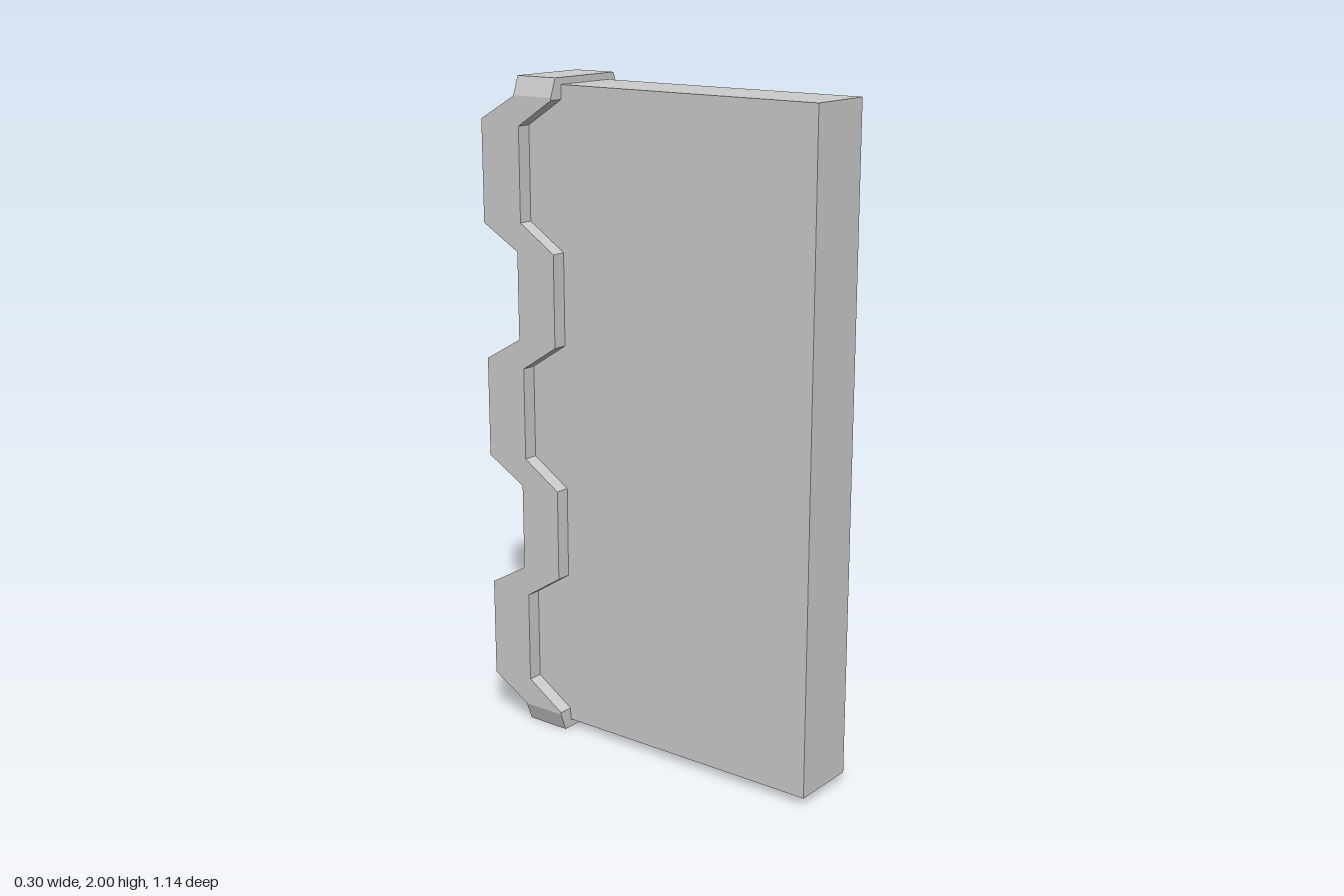
import * as THREE from 'three';

const HALF_CORE = 0.105;   // half thickness of the panel
const HALF_RAIL = 0.15;    // half thickness across the rails
const SHOULDER = 0.055;    // height of the chamfered ends
const TEETH = [0.282, 1.0, 1.718]; // tooth centre heights

// Zigzag edge from bottom to top, as (distance towards the back, y) points
function zigzag(low, high, outer, inner) {
  return TEETH.flatMap((y) => [
    [low, y - outer], [high, y - inner], [high, y + inner], [low, y + outer],
  ]);
}

function toShape(points) {
  return new THREE.Shape(points.map(([x, y]) => new THREE.Vector2(x, y)));
}

// Extrude a side profile along x, starting at x0
function extrudeSide(points, x0, width) {
  const geo = new THREE.ExtrudeGeometry(toShape(points), { depth: width, bevelEnabled: false });
  geo.rotateY(Math.PI / 2);
  geo.translate(x0, 0, 0);
  return geo;
}

export function createModel() {
  const group = new THREE.Group();
  const material = new THREE.MeshStandardMaterial({ color: 0xcccccc, flatShading: true });
  const add = (name, geometry) => {
    const mesh = new THREE.Mesh(geometry, material);
    mesh.name = name;
    group.add(mesh);
  };

  // Thick panel, its back edge forming the stepped groove floor
  const panel = [
    [-0.57, 0.025], [0.36, 0.025],
    ...zigzag(0.36, 0.49, 0.23, 0.153),
    [0.36, 1.98], [-0.57, 1.98],
  ];
  add('panel', extrudeSide(panel, -HALF_CORE, HALF_CORE * 2));

  // Toothed rails on both sides of the back edge
  const rail = [
    [0.3, SHOULDER], [0.44, SHOULDER],
    ...zigzag(0.44, 0.57, 0.227, 0.153),
    [0.44, 2 - SHOULDER], [0.3, 2 - SHOULDER],
    ...zigzag(0.3, 0.425, 0.22, 0.14).reverse(),
  ];
  const railWidth = HALF_RAIL - HALF_CORE;
  add('leftRail', extrudeSide(rail, HALF_CORE, railWidth));
  add('rightRail', extrudeSide(rail, -HALF_RAIL, railWidth));

  // Chamfered U-shaped caps joining the rails at both ends
  const cap = [
    [HALF_RAIL, 2 - SHOULDER], [0.13, 2], [-0.13, 2], [-HALF_RAIL, 2 - SHOULDER],
    [-HALF_CORE, 2 - SHOULDER], [-HALF_CORE, 1.978], [HALF_CORE, 1.978], [HALF_CORE, 2 - SHOULDER],
  ];
  for (const [name, points] of [
    ['topCap', cap],
    ['bottomCap', cap.map(([x, y]) => [x, 2 - y])],
  ]) {
    const geo = new THREE.ExtrudeGeometry(toShape(points), { depth: 0.142, bevelEnabled: false });
    geo.translate(0, 0, -0.442);
    add(name, geo);
  }

  return group;
}
